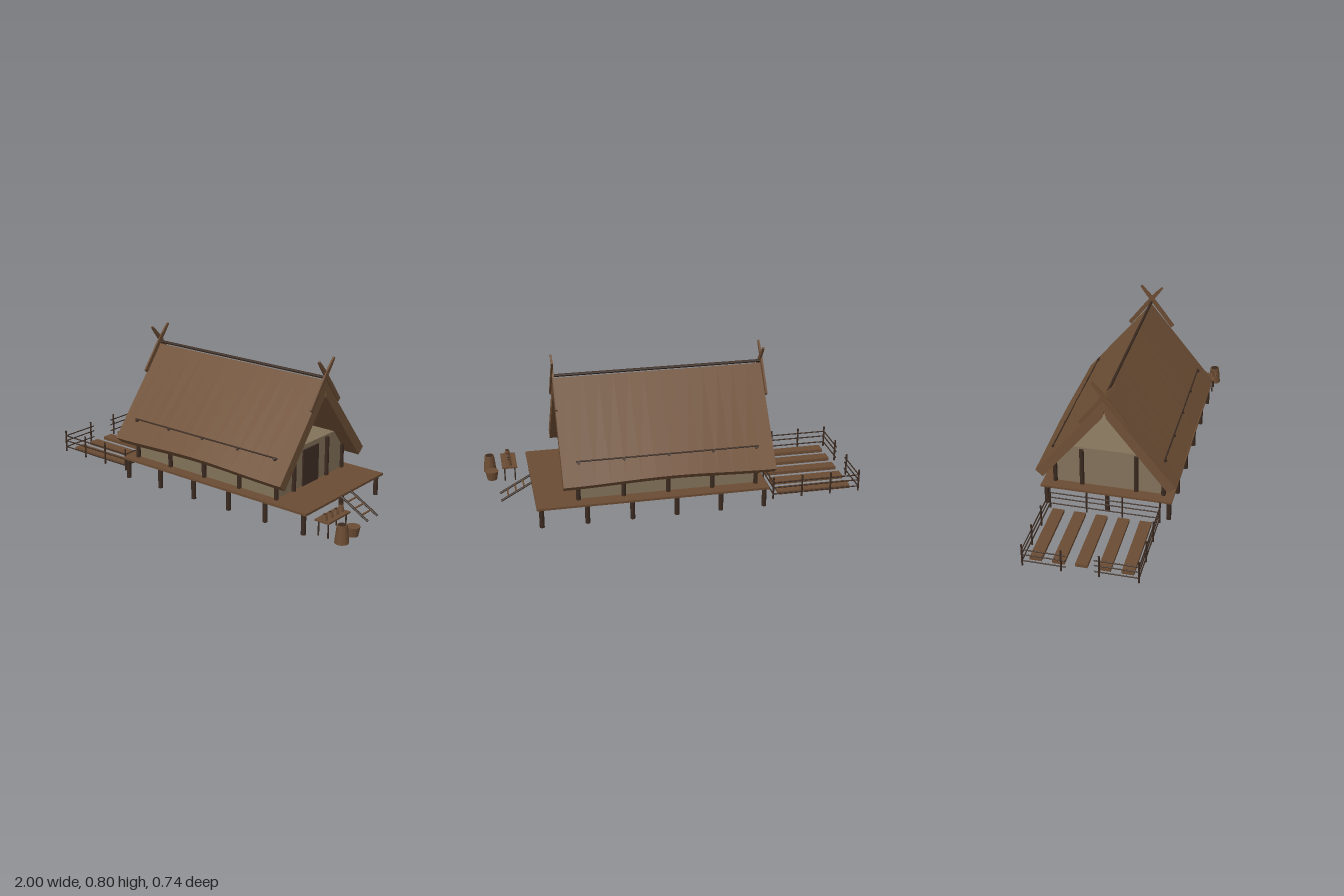
import * as THREE from 'three';

const mat = (name, color) => {
  const m = new THREE.MeshStandardMaterial({ color, flatShading: true });
  m.name = name;
  return m;
};

export function createModel() {
  const thatch = mat('thatch', 0x6f5036);
  const wood = mat('wood', 0x6b4c33);
  const darkWood = mat('dark wood', 0x3a2a20);
  const doorWood = mat('door wood', 0x402f26);
  const plaster = mat('plaster', 0x82725a);
  const model = new THREE.Group();

  const group = (name) => {
    const g = new THREE.Group();
    g.name = name;
    model.add(g);
    return g;
  };
  const add = (parent, name, geo, material, x = 0, y = 0, z = 0) => {
    const m = new THREE.Mesh(geo, material);
    m.name = name;
    m.position.set(x, y, z);
    parent.add(m);
    return m;
  };
  // box given by its centre in x and z and its bottom and top heights
  const box = (parent, name, material, x, z, w, d, y0, y1) =>
    add(parent, name, new THREE.BoxGeometry(w, y1 - y0, d), material, x, (y0 + y1) / 2, z);
  // upright round part
  const round = (parent, name, material, x, z, y0, y1, rBottom, rTop = rBottom, sides = 8) =>
    add(parent, name, new THREE.CylinderGeometry(rTop, rBottom, y1 - y0, sides), material, x, (y0 + y1) / 2, z);
  // round pole between two points
  const pole = (parent, name, material, a, b, r, sides = 6) => {
    const p = new THREE.Vector3(...a), q = new THREE.Vector3(...b);
    const m = add(parent, name, new THREE.CylinderGeometry(r, r, p.distanceTo(q), sides), material);
    m.position.copy(p).lerp(q, 0.5);
    m.quaternion.setFromUnitVectors(new THREE.Vector3(0, 1, 0), q.sub(p).normalize());
    return m;
  };
  // outline of [z, y] points, extruded along x from x0
  const slice = (points, x0, length, steps = 1) => {
    const shape = new THREE.Shape(points.map(([z, y]) => new THREE.Vector2(-z, y)));
    const geo = new THREE.ExtrudeGeometry(shape, { depth: length, steps, bevelEnabled: false });
    return geo.rotateY(Math.PI / 2).translate(x0, 0, 0);
  };

  // Raised deck on stilts
  const deck = group('deck');
  box(deck, 'platform', wood, 0.145, -0.005, 1.23, 0.7, 0.108, 0.12);
  for (const x of [-0.45, -0.213, 0.024, 0.261, 0.498, 0.735])
    for (const z of [-0.328, 0, 0.328]) round(deck, 'stilt', darkWood, x, z, 0, 0.108, 0.013);

  // Walls, posts and door
  const house = group('house');
  box(house, 'walls', plaster, 0.065, 0, 0.94, 0.56, 0.12, 0.343);
  for (const z of [-0.29, 0.29])
    for (const x of [-0.41, -0.173, 0.064, 0.301, 0.538]) round(house, 'wallPost', darkWood, x, z, 0.12, 0.31, 0.012);
  for (const z of [-0.145, 0.145])
    for (const x of [-0.41, 0.54]) round(house, 'gablePost', darkWood, x, z, 0.12, 0.333, 0.0125);
  box(house, 'door', doorWood, 0.538, 0, 0.009, 0.138, 0.121, 0.318);

  // Thatched roof whose eaves lift a little in the middle
  const roof = group('roof');
  const half = [[0.37, 0.233], [0.33, 0.198], [0.013, 0.595]];
  const outline = [[0, 0.69], ...half, [0, 0.64], ...half.map(([z, y]) => [-z, y]).reverse()];
  const roofGeo = slice(outline, -0.5, 1.12, 14);
  const pos = roofGeo.attributes.position;
  for (let i = 0; i < pos.count; i++) {
    const lift = 0.008 * (1 + Math.cos((pos.getX(i) - 0.06) * 5.6));
    pos.setY(i, pos.getY(i) + lift * Math.abs(pos.getZ(i)) / 0.37);
  }
  roofGeo.computeVertexNormals();
  add(roof, 'thatchedRoof', roofGeo, thatch);
  pole(roof, 'ridgePole', darkWood, [-0.5, 0.703, 0], [0.62, 0.703, 0], 0.008);

  for (const side of [-1, 1]) {
    // Thin pole pegged along each slope
    pole(roof, 'slopePole', darkWood, [-0.42, 0.34, side * 0.295], [0.545, 0.34, side * 0.295], 0.004);
    for (const x of [-0.41, -0.175, 0.06, 0.295, 0.53])
      pole(roof, 'peg', darkWood, [x, 0.325, side * 0.285], [x, 0.337, side * 0.302], 0.008);
    // Crossed gable boards
    const board = [[0.133, 0.565], [0.006, 0.733], [-0.03, 0.772], [-0.058, 0.8],
      [-0.066, 0.793], [-0.045, 0.762], [-0.012, 0.718], [0.117, 0.55]];
    for (const x of [-0.5, 0.62])
      add(roof, 'gableBoard', slice(board.map(([z, y]) => [z * side, y]), x - 0.005 + side * 0.003, 0.01), wood);
  }

  // Ladder
  const ladder = group('ladder');
  for (const z of [-0.045, 0.045])
    pole(ladder, 'ladderRail', darkWood, [0.758, 0.12, z], [0.925, 0.026, z], 0.006);
  for (const x of [0.8, 0.843, 0.886]) {
    const y = 0.12 - (x - 0.758) * 0.563;
    pole(ladder, 'rung', wood, [x, y, -0.048], [x, y, 0.048], 0.005);
  }

  // Bench with cups
  const bench = group('bench');
  box(bench, 'benchTop', wood, 0.86, 0.263, 0.082, 0.185, 0.107, 0.116);
  for (const x of [0.832, 0.888])
    for (const z of [0.187, 0.34]) round(bench, 'benchLeg', darkWood, x, z, 0.028, 0.107, 0.004, 0.004, 6);
  [[0.195, 0.15], [0.24, 0.142], [0.287, 0.142], [0.333, 0.146]].forEach(([z, top]) => {
    round(bench, 'cup', wood, 0.862, z, 0.116, top, 0.017, 0.011, 10);
    round(bench, 'cupMouth', darkWood, 0.862, z, top, top + 0.001, 0.008, 0.008, 10);
  });

  // Tubs beside the bench
  const tubs = group('tubs');
  round(tubs, 'tallTub', wood, 0.963, 0.334, 0.027, 0.12, 0.036, 0.026, 12);
  round(tubs, 'tallTubMouth', darkWood, 0.963, 0.334, 0.12, 0.121, 0.021, 0.021, 12);
  round(tubs, 'bucket', wood, 0.957, 0.229, 0.025, 0.075, 0.027, 0.036, 12);

  // Garden fence with a gate gap on the far side
  const fence = group('fence');
  const x0 = -0.993, x1 = -0.512, zEdge = 0.292;
  const runs = [
    [[x0, -zEdge], [x1, -zEdge]], [[x0, zEdge], [x1, zEdge]], [[x1, -zEdge], [x1, zEdge]],
    [[x0, -zEdge], [x0, -0.07]], [[x0, 0.07], [x0, zEdge]],
  ];
  for (const [a, b] of runs)
    for (const y of [0.043, 0.08, 0.11])
      pole(fence, 'fenceRail', darkWood, [a[0], y, a[1]], [b[0], y, b[1]], 0.0035);
  const post = (x, z) => round(fence, 'fencePost', darkWood, x, z, 0.015, 0.14, 0.005, 0.005, 6);
  for (const z of [-zEdge, zEdge]) for (let i = 0; i < 4; i++) post(x0 + (x1 - x0) * i / 3, z);
  for (const x of [x0, x1]) for (const z of [-0.095, 0.095]) post(x, z);

  // Planting beds
  const beds = group('gardenBeds');
  for (let i = 0; i < 5; i++) box(beds, 'bed', wood, -0.752, -0.236 + i * 0.116, 0.405, 0.062, 0.022, 0.04);

  return model;
}
